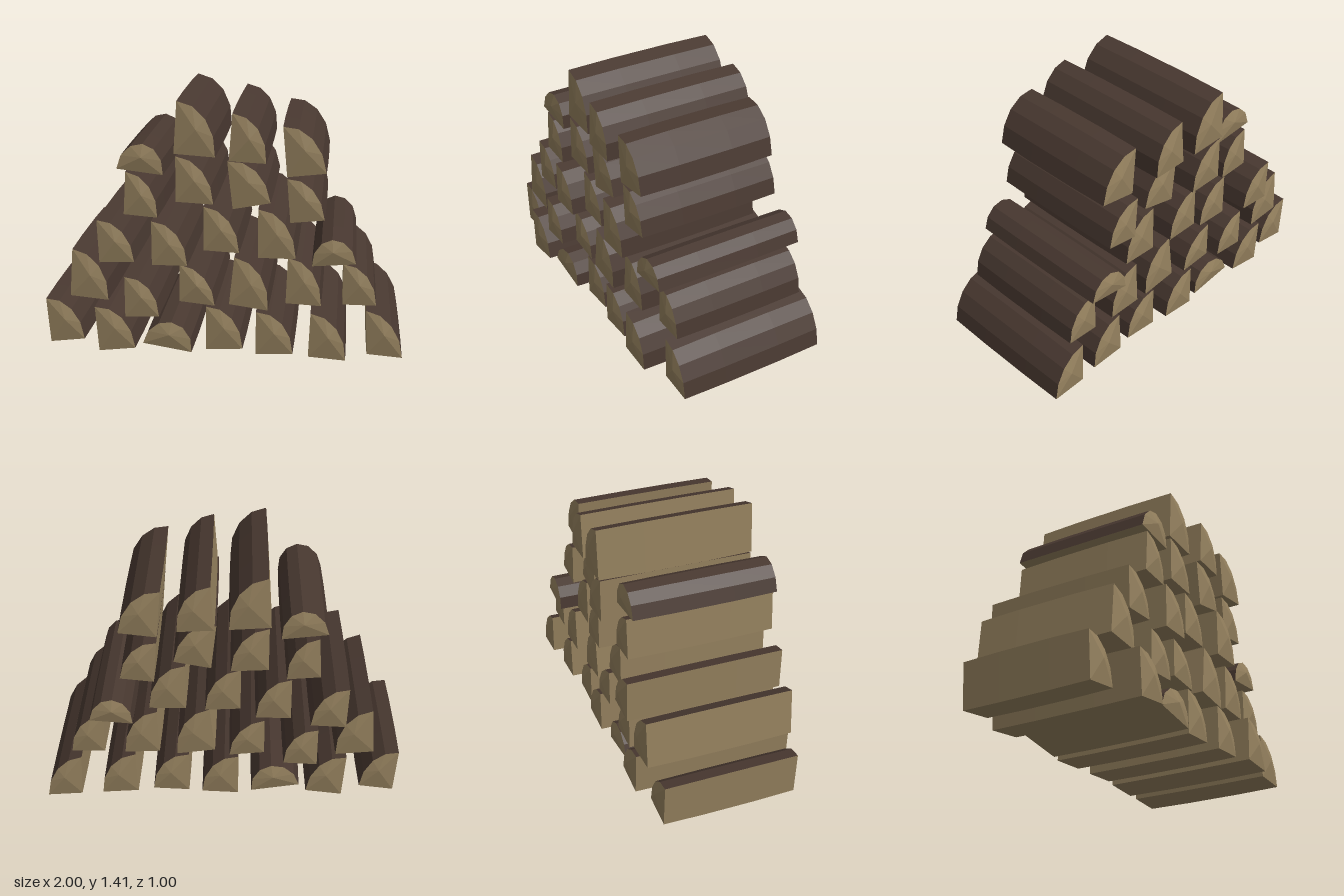
import * as THREE from 'three';

const wood = new THREE.MeshStandardMaterial({ color: 0x96825f, flatShading: true });
wood.name = 'split wood';
const bark = new THREE.MeshStandardMaterial({ color: 0x483830, flatShading: true });
bark.name = 'bark';

// One log: an arc of bark closed by flat split faces, with shallow domed ends.
// origin + across * cos + up * sin gives the arc; corner is the split edge, if any.
function makeLog(origin, across, up, sweep, steps, hasCorner, back, front) {
  const outline = [];
  for (let i = 0; i <= steps; i++) {
    const a = (sweep * i) / steps;
    outline.push(origin.clone().addScaledVector(across, Math.cos(a)).addScaledVector(up, Math.sin(a)));
  }
  if (hasCorner) outline.push(origin.clone());
  const n = outline.length;
  const centre = outline.reduce((s, p) => s.add(p), new THREE.Vector2()).divideScalar(n);

  // Cross-sections from back to front, slightly narrower at both ends
  const dome = 0.018;
  const z0 = back + dome, z1 = front - dome;
  const rings = [[0, 0.97], [0.3, 0.995], [0.7, 0.995], [1, 0.97]].map(([t, s]) =>
    outline.map((p) => {
      const q = p.clone().sub(centre).multiplyScalar(s).add(centre);
      return [q.x, q.y, z0 + (z1 - z0) * t];
    }));
  const barkFaces = [], woodFaces = [];
  for (let r = 0; r < rings.length - 1; r++) {
    for (let i = 0; i < n; i++) {
      const j = (i + 1) % n;
      const a = rings[r][i], b = rings[r][j], c = rings[r + 1][j], d = rings[r + 1][i];
      (i < steps ? barkFaces : woodFaces).push(a, b, c, a, c, d);
    }
  }
  // Chopped ends
  const last = rings[rings.length - 1];
  for (let i = 0; i < n; i++) {
    const j = (i + 1) % n;
    woodFaces.push(last[i], last[j], [centre.x, centre.y, front]);
    woodFaces.push(rings[0][j], rings[0][i], [centre.x, centre.y, back]);
  }
  const geometry = new THREE.BufferGeometry();
  const all = barkFaces.concat(woodFaces);
  geometry.setAttribute('position', new THREE.Float32BufferAttribute(all.flat(), 3));
  geometry.addGroup(0, barkFaces.length, 0);
  geometry.addGroup(barkFaces.length, woodFaces.length, 1);
  geometry.computeVertexNormals();
  return new THREE.Mesh(geometry, [bark, wood]);
}

// Quarter log: split corner, lower right and upper left points, back and front
function quarterLog([cx, cy, rx, ry, tx, ty, back, front]) {
  const mesh = makeLog(new THREE.Vector2(cx, cy), new THREE.Vector2(rx - cx, ry - cy),
    new THREE.Vector2(tx - cx, ty - cy), Math.PI / 2, 4, true, back, front);
  mesh.name = 'quarterLog';
  return mesh;
}

// Half log: left and right ends of the flat face, height, back and front
function halfLog([lx, ly, rx, ry, height, back, front]) {
  const across = new THREE.Vector2((rx - lx) / 2, (ry - ly) / 2);
  const up = new THREE.Vector2(-across.y, across.x).setLength(height);
  const mesh = makeLog(new THREE.Vector2((lx + rx) / 2, (ly + ry) / 2), across, up,
    Math.PI, 6, false, back, front);
  mesh.name = 'halfLog';
  return mesh;
}

export function createModel() {
  const pile = new THREE.Group();
  pile.name = 'firewoodPile';
  const addRow = (name, quarters, halves = []) => {
    const row = new THREE.Group();
    row.name = name;
    quarters.forEach((q) => row.add(quarterLog(q)));
    halves.forEach((h) => row.add(halfLog(h)));
    pile.add(row);
  };

  addRow('bottomRow', [
    [-0.98, 0.005, -0.78, 0.03, -1.0, 0.27, -0.4, 0.4],
    [-0.68, 0.005, -0.47, 0.03, -0.7, 0.27, -0.45, 0.5],
    [-0.09, 0.01, 0.12, 0.02, -0.09, 0.27, -0.45, 0.43],
    [0.19, 0.005, 0.4, 0.015, 0.19, 0.26, -0.42, 0.46],
    [0.48, 0.02, 0.69, 0.005, 0.49, 0.28, -0.45, 0.5],
    [0.8, 0.02, 1.0, 0.005, 0.79, 0.28, -0.48, 0.43],
  ], [[-0.44, 0.05, -0.16, 0.005, 0.158, -0.42, 0.47]]);

  addRow('secondRow', [
    [-0.85, 0.3, -0.63, 0.28, -0.83, 0.58, -0.44, 0.43],
    [-0.535, 0.2, -0.34, 0.21, -0.535, 0.44, -0.43, 0.47],
    [-0.235, 0.29, -0.035, 0.27, -0.235, 0.51, -0.44, 0.43],
    [0.04, 0.29, 0.26, 0.26, 0.07, 0.57, -0.42, 0.45],
    [0.35, 0.3, 0.55, 0.29, 0.36, 0.57, -0.45, 0.43],
    [0.66, 0.29, 0.85, 0.29, 0.66, 0.53, -0.44, 0.39],
  ]);

  addRow('thirdRow', [
    [-0.68, 0.5, -0.48, 0.51, -0.69, 0.75, -0.49, 0.43],
    [-0.38, 0.51, -0.18, 0.51, -0.38, 0.765, -0.42, 0.47],
    [-0.1, 0.59, 0.1, 0.58, -0.1, 0.845, -0.45, 0.43],
    [0.2, 0.57, 0.41, 0.57, 0.2, 0.85, -0.42, 0.47],
  ], [[0.49, 0.52, 0.735, 0.54, 0.148, -0.5, 0.43]]);

  addRow('fourthRow', [
    [-0.535, 0.785, -0.345, 0.77, -0.52, 1.03, -0.43, 0.44],
    [-0.25, 0.86, -0.04, 0.85, -0.25, 1.12, -0.48, 0.43],
    [0.06, 0.83, 0.27, 0.87, 0.03, 1.1, -0.42, 0.44],
    [0.37, 0.76, 0.56, 0.78, 0.35, 1.01, -0.45, 0.43],
  ]);

  addRow('topRow', [
    [-0.26, 1.125, -0.03, 1.11, -0.24, 1.42, -0.49, 0.43],
    [0.04, 1.1, 0.245, 1.09, 0.06, 1.365, -0.48, 0.46],
    [0.35, 1.015, 0.565, 1.04, 0.325, 1.295, -0.41, 0.44],
  ], [[-0.57, 1.04, -0.31, 1.01, 0.16, -0.41, 0.44]]);

  return pile;
}
